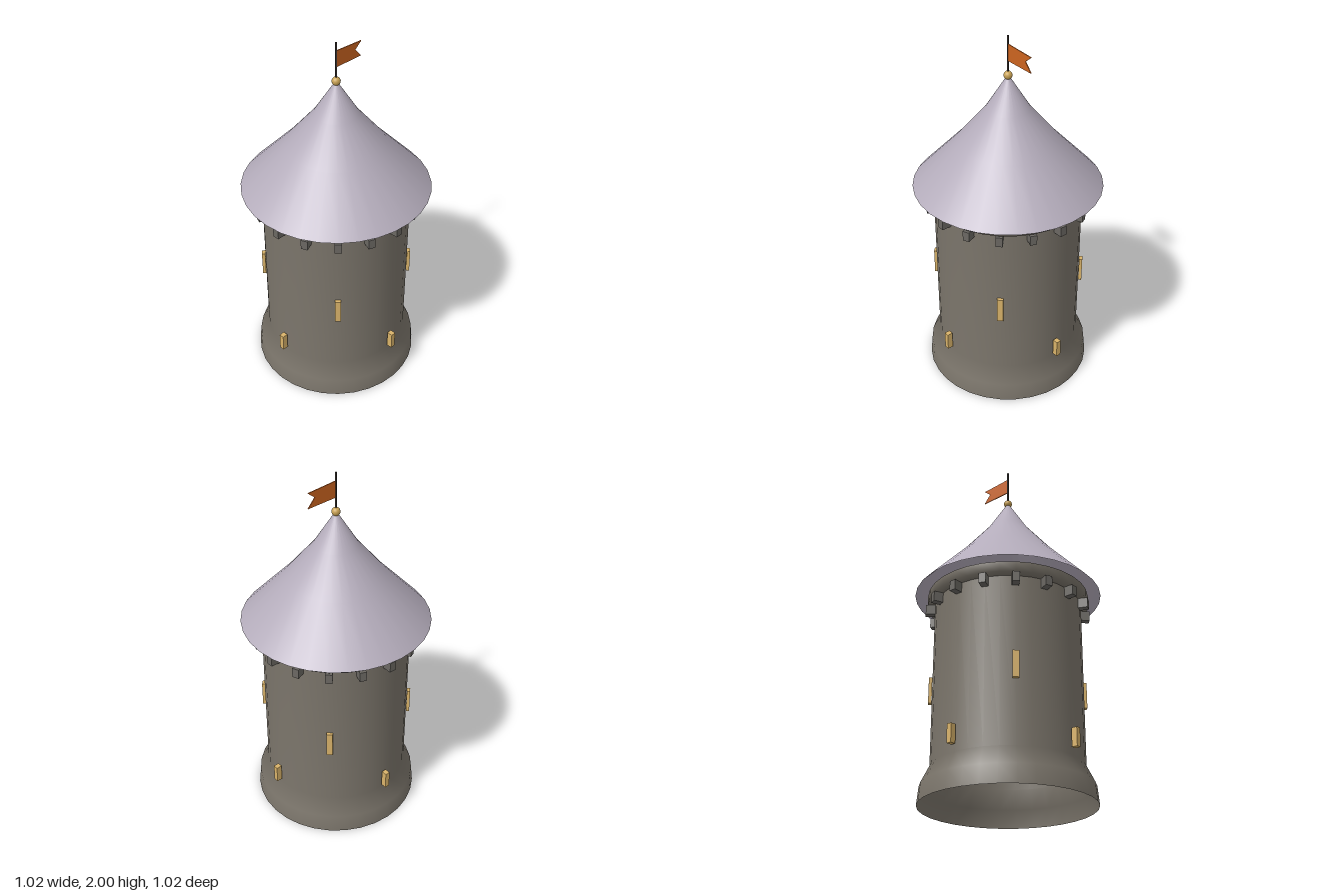
import * as THREE from 'three';

const mat = (name, color, side = THREE.FrontSide) => {
  const m = new THREE.MeshStandardMaterial({ color, side });
  m.name = name;
  return m;
};

export function createModel() {
  const stone = mat('stone', 0x7a746a, THREE.DoubleSide);
  const darkStone = mat('dark stone', 0x6b6863);
  const slate = mat('lilac slate', 0xb5adbc, THREE.DoubleSide);
  const glow = mat('window glow', 0xd9b36a);
  const brass = mat('brass', 0xc9a253);
  const iron = mat('iron', 0x3a3330);
  const cloth = mat('orange cloth', 0xcc6420);

  const tower = new THREE.Group();
  tower.name = 'tower';

  const add = (name, geometry, material, y = 0, parent = tower) => {
    const mesh = new THREE.Mesh(geometry, material);
    mesh.name = name;
    mesh.position.y = y;
    parent.add(mesh);
    return mesh;
  };
  const lathe = (points) =>
    new THREE.LatheGeometry(points.map(([r, y]) => new THREE.Vector2(r, y)), 32);

  // Boxes spaced evenly around the wall, each facing outward
  const ring = (name, count, start, radius, y, size, material) => {
    const group = new THREE.Group();
    group.name = name + 's';
    const geometry = new THREE.BoxGeometry(...size);
    for (let i = 0; i < count; i++) {
      const a = start + (i / count) * Math.PI * 2;
      const mesh = add(name, geometry, material, y, group);
      mesh.position.set(Math.sin(a) * radius, y, Math.cos(a) * radius);
      mesh.rotation.y = a;
    }
    tower.add(group);
  };

  // Open shell with a flared foot, and the band under the eaves
  add('wall', lathe([[0.46, 0], [0.45, 0.1], [0.4, 0.2], [0.4, 1.11]]), stone);
  add('topBand', lathe([[0.4, 1.105], [0.44, 1.11], [0.44, 1.166]]), stone);

  // Corbels and windows
  ring('corbel', 16, 0, 0.42, 1.078, [0.037, 0.055, 0.06], darkStone);
  ring('lowerWindow', 4, 0, 0.43, 0.28, [0.028, 0.098, 0.032], glow);
  ring('upperWindow', 4, Math.PI / 4, 0.41, 0.611, [0.033, 0.142, 0.018], glow);

  // Concave roof, open underneath
  add('roof', lathe([[0.51, 1.166], [0.27, 1.42], [0.117, 1.605], [0.005, 1.785]]), slate);

  // Finial and flagpole
  add('finial', new THREE.SphereGeometry(0.023, 16, 12), brass, 1.787);
  add('flagpole', new THREE.CylinderGeometry(0.005, 0.005, 0.22, 8), iron, 1.89);

  // Swallow-tailed flag
  const outline = new THREE.Shape(
    [[0, 1.865], [0.178, 1.86], [0.135, 1.908], [0.178, 1.943], [0, 1.955]]
      .map(([x, y]) => new THREE.Vector2(x, y)));
  const flag = add('flag',
    new THREE.ExtrudeGeometry(outline, { depth: 0.005, bevelEnabled: false }), cloth);
  flag.position.z = -0.0025;

  return tower;
}
